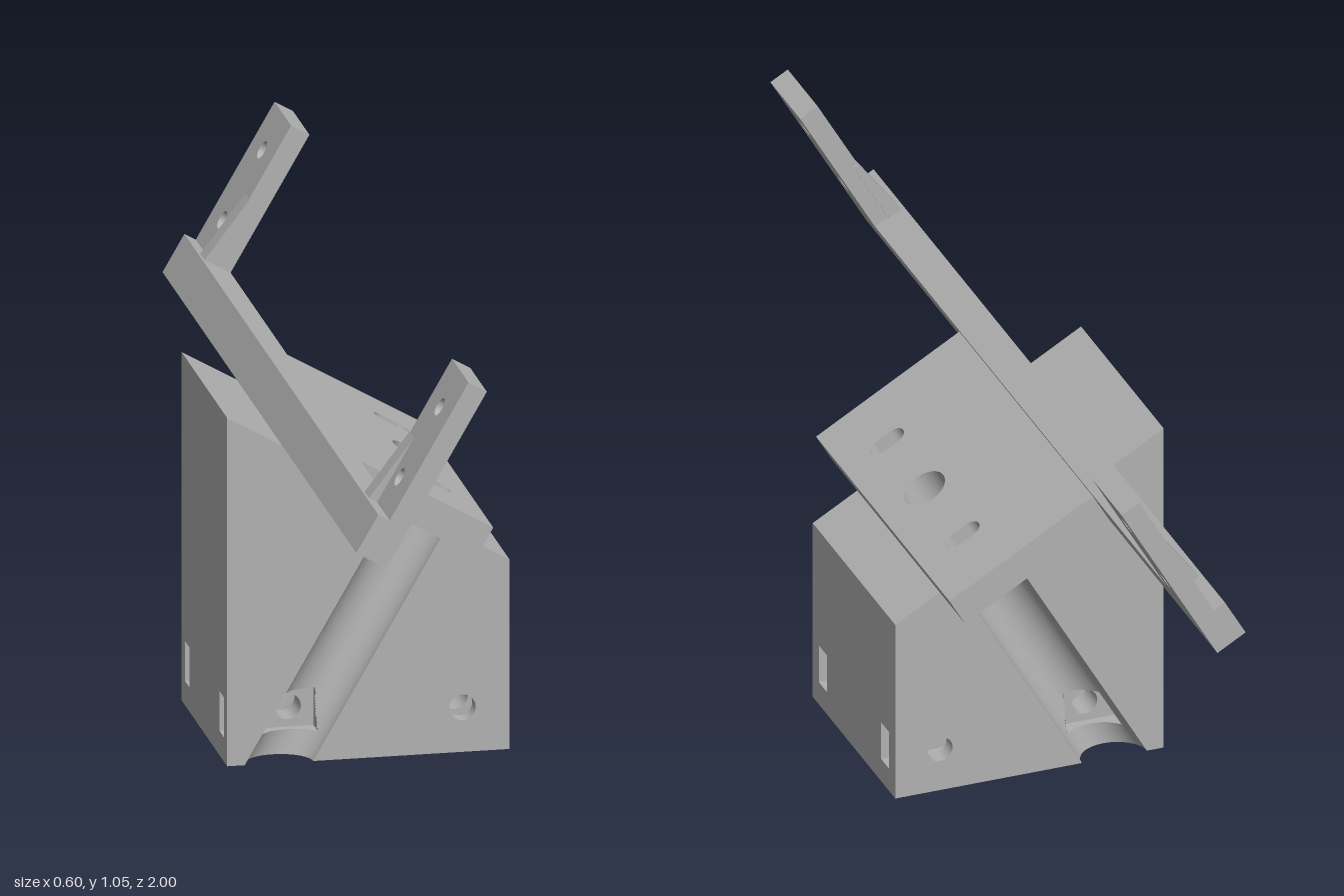
import * as THREE from 'three';

const TILT = Math.PI / 6, COS = Math.cos(TILT), SIN = Math.sin(TILT), TAN = Math.tan(TILT);
const W = 0.3, D = 0.235;              // block half width and half depth
const OX = -0.183, OY = 0.692;         // origin of the sloped face
const PLANE = OX * SIN + OY * COS;     // distance of the sloped face
const AXIS = -0.19;                    // where the tilted bores meet the floor
const RG = 0.063, RC = 0.088;          // side groove and centre bore radii
const Y0 = 0.053, Y1 = 0.14, Z0 = 0.155, Z1 = 0.2; // nut pocket limits
const HY = 0.097, HR = 0.028;          // cross holes
const SLOT_X = 0.11, SLOT_Z = 0.07, SLOT_Y = 0.12; // slot under the block

const slopeY = x => OY - (x - OX) * TAN;
const V = (x, y) => new THREE.Vector2(x, y);

export function createModel() {
  const grey = new THREE.MeshStandardMaterial({ color: 0xb0b0b0, side: THREE.DoubleSide });
  grey.name = 'plain grey';
  const model = new THREE.Group();
  model.name = 'tiltedMount';
  const block = new THREE.Group();
  block.name = 'baseBlock';
  const bracket = new THREE.Group();
  bracket.name = 'bracket';
  model.add(block, bracket);

  const add = (parent, name, geo) => {
    const m = new THREE.Mesh(geo, grey);
    m.name = name;
    parent.add(m);
    return m;
  };

  // flat face: outline with holes, placed by a mapping (a, b) -> [x, y, z]
  const face = (name, pts, holes, map) => {
    const s = new THREE.Shape(pts);
    holes.forEach(h => s.holes.push(h));
    const g = new THREE.ShapeGeometry(s, 16), p = g.attributes.position;
    for (let i = 0; i < p.count; i++) p.setXYZ(i, ...map(p.getX(i), p.getY(i)));
    g.computeVertexNormals();
    add(block, name, g);
  };

  // curved or ruled patch over (i, j), leaving out cells where skip is true
  const patch = (name, nu, nv, fn, skip = () => false) => {
    const pos = [], idx = [];
    for (let j = 0; j <= nv; j++) for (let i = 0; i <= nu; i++) pos.push(...fn(i / nu, j / nv, j));
    for (let j = 0; j < nv; j++) for (let i = 0; i < nu; i++) {
      const a = j * (nu + 1) + i, b = a + 1, c = a + nu + 1, d = c + 1;
      const mid = [0, 1, 2].map(k => (pos[a * 3 + k] + pos[b * 3 + k] + pos[c * 3 + k] + pos[d * 3 + k]) / 4);
      if (!skip(...mid)) idx.push(a, b, d, a, d, c);
    }
    const g = new THREE.BufferGeometry();
    g.setAttribute('position', new THREE.Float32BufferAttribute(pos, 3));
    g.setIndex(idx);
    g.computeVertexNormals();
    add(block, name, g);
  };

  const circle = (x, y, r) => new THREE.Path().absarc(x, y, r, 0, Math.PI * 2, true);
  const rect = (x0, y0, x1, y1) => [V(x0, y0), V(x1, y0), V(x1, y1), V(x0, y1)];
  const lerp = THREE.MathUtils.lerp;

  // half-round notch in a face edge
  const notch = (c, a, side) => Array.from({ length: 33 }, (_, i) => {
    const t = Math.PI * (1 - i / 32);
    return V(c + a * Math.cos(t), side * (D - RG * Math.sin(t)));
  });
  const notched = (x0, x1, c, a) => [V(x0, D), ...notch(c, a, 1), V(x1, D),
    V(x1, -D), ...notch(c, a, -1).reverse(), V(x0, -D)];

  // sloped face
  const uAt = x => (x - OX) / COS;
  const uAxis = uAt(AXIS + (PLANE - AXIS * SIN) * SIN);
  face('slopedFace', notched(uAt(-W), uAt(W), uAxis, RG), [circle(uAxis, 0, RC)],
    (u, z) => [OX + u * COS, OY - u * SIN, z]);

  // underside with the centre bore joined to a straight slot
  const t0 = Math.asin(SLOT_Z / RC), slotStart = AXIS + RC / COS * Math.cos(t0);
  const keyhole = [V(SLOT_X, -SLOT_Z), V(SLOT_X, SLOT_Z)];
  for (let i = 0; i <= 40; i++) {
    const t = lerp(t0, Math.PI * 2 - t0, i / 40);
    keyhole.push(V(AXIS + RC / COS * Math.cos(t), RC * Math.sin(t)));
  }
  face('underside', notched(-W, W, AXIS, RG / COS), [new THREE.Path(keyhole)], (x, z) => [x, 0, z]);
  for (const s of [1, -1]) patch('slotWall', 1, 1, (i, j) =>
    [lerp(slotStart + j * SLOT_Y * TAN, SLOT_X, i), j * SLOT_Y, s * SLOT_Z]);
  patch('slotEnd', 1, 1, (i, j) => [SLOT_X, j * SLOT_Y, lerp(-SLOT_Z, SLOT_Z, i)]);
  patch('slotRoof', 24, 1, (i, j) => {
    const z = lerp(-SLOT_Z, SLOT_Z, i);
    const x = AXIS + Math.sqrt(RC * RC - z * z) / COS + SLOT_Y * TAN;
    return [lerp(x, SLOT_X, j), SLOT_Y, z];
  });

  // tilted bores: rows at fixed heights, last row on the sloped face
  const levels = [0, Y0];
  for (let i = 1; i <= 12; i++) levels.push(lerp(Y0, SLOT_Y, i / 12));
  for (let i = 1; i <= 4; i++) levels.push(lerp(SLOT_Y, Y1, i / 4));
  const bore = (name, r, zc, a0, a1, cols, skip) => patch(name, cols, levels.length, (i, _, j) => {
    const t = lerp(a0, a1, i), x = AXIS + r / COS * Math.cos(t);
    const y = j < levels.length ? levels[j] : (PLANE - x * SIN) * COS;
    return [x + y * TAN, y, zc + r * Math.sin(t)];
  }, skip);
  const inPocket = (x, y, z) => y > Y0 && y < Y1 && Math.abs(z) < Z1 && x < -0.1;
  bore('frontGroove', RG, D, -Math.PI, 0, 64, inPocket);
  bore('backGroove', RG, -D, 0, Math.PI, 64, inPocket);
  bore('centreBore', RC, 0, 0, Math.PI * 2, 80,
    (x, y, z) => y < SLOT_Y && Math.abs(z) < SLOT_Z && x > AXIS + y * TAN);

  // front and back faces, parted by the grooves
  const g = RG / COS, top = c => { const s = PLANE - c * SIN; return V(c + s * SIN, s * COS); };
  for (const s of [1, -1]) {
    const map = (x, y) => [x, y, s * D];
    face('broadFace', [V(-W, 0), V(AXIS - g, 0), top(AXIS - g), V(-W, slopeY(-W))], [], map);
    face('broadFace', [V(AXIS + g, 0), V(W, 0), V(W, slopeY(W)), top(AXIS + g)], [circle(0.2, HY, HR)], map);
  }

  // end faces with pocket mouths
  for (const x of [-W, W]) face('endFace', rect(-D, 0, D, slopeY(x)),
    [1, -1].map(s => new THREE.Path(rect(s * Z0, Y0, s * Z1, Y1))), (z, y) => [x, y, z]);

  // nut pockets, trimmed where a groove runs through them
  const zOut = (x, y) => {
    const d = (x - AXIS - y * TAN) * COS;
    return Math.abs(d) < RG ? Math.min(Z1, D - Math.sqrt(RG * RG - d * d)) : Z1;
  };
  for (const s of [1, -1]) for (const [mouth, end, hx] of [[-W, -0.1, -0.155], [W, 0.145, 0.2]]) {
    for (const y of [Y0, Y1]) patch('pocketFloor', 40, 1, (i, j) => {
      const x = lerp(mouth, end, i);
      return [x, y, s * lerp(Z0, zOut(x, y), j)];
    });
    patch('pocketEnd', 16, 1, (i, j) => {
      const y = lerp(Y0, Y1, i);
      return [end, y, s * lerp(Z0, zOut(end, y), j)];
    });
    const outline = rect(mouth, Y0, end, Y1);
    face('pocketInnerWall', outline, [circle(hx, HY, HR)], (x, y) => [x, y, s * Z0]);
    if (mouth > 0) face('pocketOuterWall', outline, [circle(hx, HY, HR)], (x, y) => [x, y, s * Z1]);
    else {
      const edge = AXIS - Math.sqrt(RG * RG - (D - Z1) ** 2) / COS;
      face('pocketOuterWall', [V(-W, Y0), V(edge + Y0 * TAN, Y0), V(edge + Y1 * TAN, Y1), V(-W, Y1)], [],
        (x, y) => [x, y, s * Z1]);
    }
  }

  // cross hole walls
  const tube = (x, za, zb) => patch('crossHole', 32, 1, (i, j) =>
    [x + HR * Math.cos(i * Math.PI * 2), HY + HR * Math.sin(i * Math.PI * 2), lerp(za, zb, j)]);
  tube(0.2, -Z0, Z0);
  for (const s of [1, -1]) {
    tube(0.2, s * Z1, s * D);
    tube(-0.155, s * 0.09, s * Z0);
  }

  // bracket frame lies on the slope: x runs downhill, y is its normal
  bracket.position.set(OX, OY, 0);
  bracket.rotation.z = -TILT;
  const extrude = (shape, depth) => new THREE.ExtrudeGeometry(shape, { depth, bevelEnabled: false, curveSegments: 20 });

  // mounting plate with a round hole and two slots
  const plate = new THREE.Shape(rect(0.073, -0.38, 0.443, 0.38));
  plate.holes.push(circle(0.335, 0, 0.048));
  for (const s of [1, -1]) {
    const h = new THREE.Path();
    h.absarc(0.355, s * 0.215, 0.022, -Math.PI / 2, Math.PI / 2, false);
    h.absarc(0.315, s * 0.215, 0.022, Math.PI / 2, Math.PI * 1.5, false);
    plate.holes.push(h);
  }
  add(bracket, 'mountingPlate', extrude(plate, 0.07).rotateX(-Math.PI / 2));

  // long cross bar
  add(bracket, 'crossBar', new THREE.BoxGeometry(0.073, 0.093, 2).translate(0.0365, 0.0465, 0));

  // upright arms with bolt holes and gussets
  for (const s of [1, -1]) {
    const arm = new THREE.Shape(rect(s * 0.83, 0.093, s, 0.428));
    for (const n of [0.17, 0.34]) arm.holes.push(circle(s * 0.915, n, 0.02));
    add(bracket, 'arm', extrude(arm, 0.045).rotateY(Math.PI / 2).translate(0.028, 0, 0));
    const rib = new THREE.Shape([V(0.008, 0.093), V(0.04, 0.093), V(0.04, 0.25), V(0.028, 0.25)]);
    add(bracket, 'gusset', extrude(rib, 0.045).translate(0, 0, s > 0 ? 0.825 : -0.87));
  }
  return model;
}
